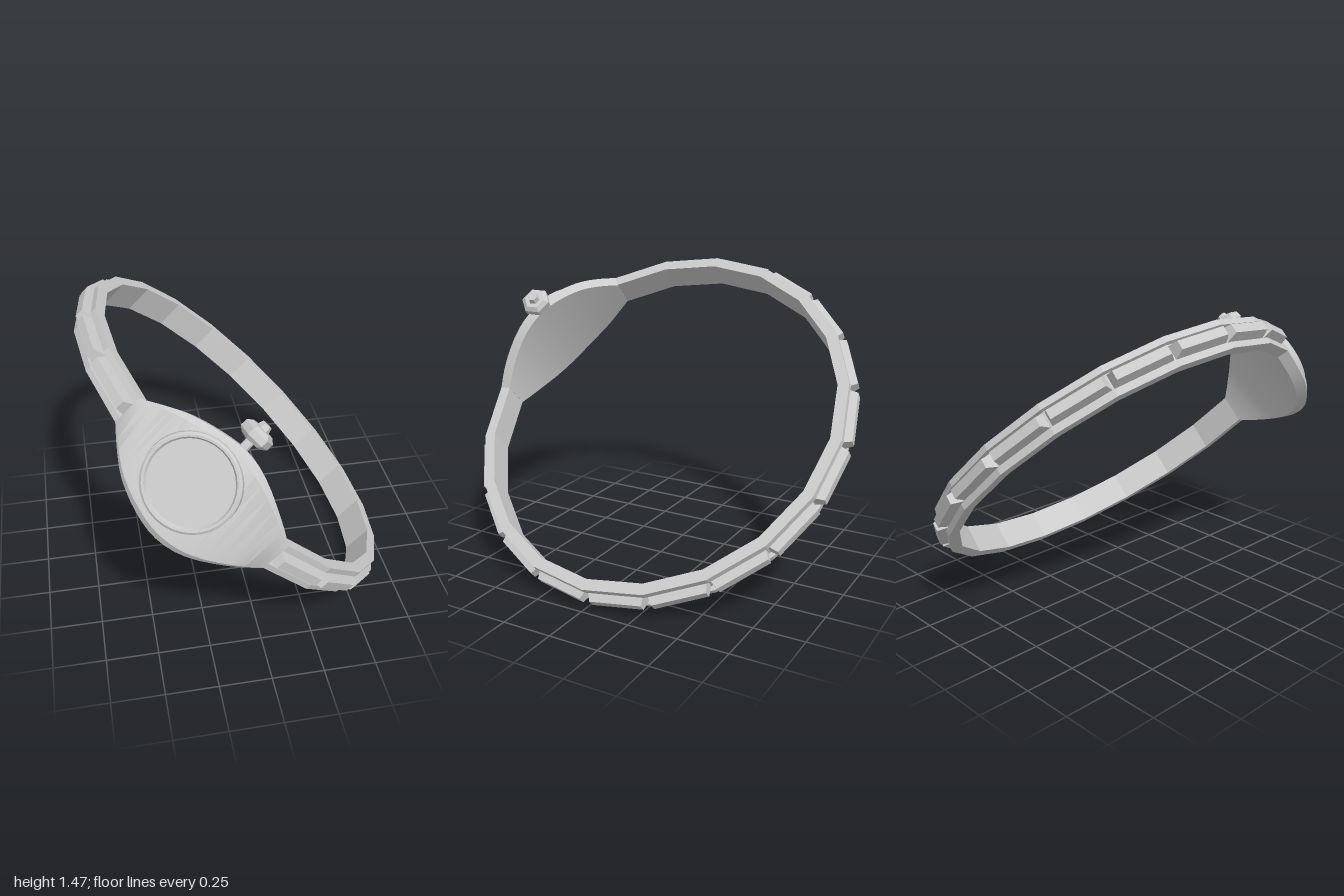
import * as THREE from 'three';
import { toCreasedNormals } from 'three/addons/utils/BufferGeometryUtils.js';

const RAD = Math.PI / 180;
const grey = new THREE.MeshStandardMaterial({ color: 0xcccccc, side: THREE.DoubleSide });
const greyFlat = new THREE.MeshStandardMaterial({ color: 0xcccccc, flatShading: true, side: THREE.DoubleSide });

// Ring coordinates: angle in degrees, radius, offset along the ring axis
const ringPoint = (deg, r, n) => new THREE.Vector3(r * Math.cos(deg * RAD), r * Math.sin(deg * RAD), n);

// Skin a list of closed cross-sections, with end caps for convex ones
function loft(rows, caps) {
  const k = rows[0].length, last = (rows.length - 1) * k, index = [];
  for (let i = 0; i < rows.length - 1; i++) {
    for (let j = 0; j < k; j++) {
      const a = i * k + j, b = i * k + (j + 1) % k;
      index.push(a, b, b + k, a, b + k, a + k);
    }
  }
  if (caps) {
    for (let j = 1; j < k - 1; j++) index.push(0, j + 1, j, last, last + j, last + j + 1);
  }
  const geo = new THREE.BufferGeometry().setFromPoints(rows.flat());
  geo.setIndex(index);
  return geo;
}

function add(parent, name, geo, mat) {
  const mesh = new THREE.Mesh(geo, mat);
  mesh.name = name;
  parent.add(mesh);
  return mesh;
}

// Band: 17 straight segments with a channel around the outside
function bandGeometry() {
  const section = [[-0.075, 0.91], [0.075, 0.91], [0.075, 0.965], [0.045, 0.967],
    [0.04, 0.945], [-0.04, 0.945], [-0.045, 0.967], [-0.075, 0.965]];
  const rows = [];
  for (let i = 0; i <= 17; i++) rows.push(section.map(([n, r]) => ringPoint(90 + i * 18, r, n)));
  const geo = loft(rows, false).toNonIndexed();
  geo.computeVertexNormals();
  return geo;
}

// Link: a box bent into a bar with chamfered sides and ends
function linkGeometry(midDeg) {
  const geo = new THREE.BoxGeometry(2, 2, 2);
  const pos = geo.attributes.position;
  for (let i = 0; i < pos.count; i++) {
    const top = pos.getY(i) > 0;
    const half = top ? 7.5 : 8.8;
    const p = ringPoint(midDeg - pos.getX(i) * half, top ? 0.997 : 0.94, pos.getZ(i) * (top ? 0.022 : 0.035));
    pos.setXYZ(i, p.x, p.y, p.z);
  }
  geo.computeVertexNormals();
  return geo;
}

// Case: widens from the band to the dial and leans slightly sideways
function caseGeometry() {
  const outline = new THREE.SplineCurve([[36, 0.076], [42, 0.145], [48, 0.202], [56, 0.246], [64, 0.265],
    [72.5, 0.238], [82.6, 0.155], [90, 0.078]].map(([a, w]) => new THREE.Vector2(a, w)));
  const rows = outline.getPoints(21).map(({ x: deg, y: w }) => {
    const f = Math.max(0, (w - 0.076) / 0.19);
    const inner = 0.908 - 0.004 * f, outer = 0.968 + 0.015 * f;
    const edge = outer - 0.004 - 0.02 * f;
    return [[-0.95 * w, inner], [0.95 * w, inner], [w, edge], [0.88 * w, outer], [-0.88 * w, outer], [-w, edge]]
      .map(([n, r]) => ringPoint(deg, r - 0.11 * n * f, n));
  });
  return toCreasedNormals(loft(rows, true).toNonIndexed(), 35 * RAD);
}

const lathe = (profile, sides) =>
  new THREE.LatheGeometry(profile.map(([r, y]) => new THREE.Vector2(r, y)), sides);

export function createModel() {
  const model = new THREE.Group();
  model.name = 'wristwatch';

  // Tilted frame that holds the ring
  const ring = new THREE.Group();
  ring.name = 'watch';
  const s = Math.SQRT1_2;
  ring.quaternion.setFromRotationMatrix(new THREE.Matrix4().makeBasis(
    new THREE.Vector3(-s, s, 0), new THREE.Vector3(0, 0, 1), new THREE.Vector3(s, s, 0)));
  ring.position.set(0.003, 0.741, 0);
  model.add(ring);

  add(ring, 'band', bandGeometry(), greyFlat);
  const links = new THREE.Group();
  links.name = 'bandLinks';
  ring.add(links);
  for (let i = 0; i < 17; i++) add(links, 'link', linkGeometry(99 + i * 18), greyFlat);

  add(ring, 'case', caseGeometry(), grey);

  // Dial with raised rim
  const up = new THREE.Vector3(0, 1, 0);
  const dial = new THREE.Group();
  dial.name = 'dial';
  dial.position.copy(ringPoint(60, 0.99, 0.02));
  dial.quaternion.setFromUnitVectors(up, ringPoint(58, 1, 0.11).normalize());
  ring.add(dial);
  const rim = lathe([[0.217, -0.04], [0.213, 0.006], [0.203, 0.014], [0.193, 0.013], [0.184, -0.002]], 32);
  add(dial, 'dialRim', toCreasedNormals(rim, 30 * RAD), grey);
  const face = new THREE.CircleGeometry(0.188, 32);
  face.rotateX(-Math.PI / 2);
  add(dial, 'dialFace', face, grey);

  // Six-sided crown on a short stem
  const crown = new THREE.Group();
  crown.name = 'crown';
  crown.position.copy(ringPoint(63, 0.882, 0.33));
  crown.quaternion.setFromUnitVectors(up, ringPoint(63, -0.2, 1).normalize());
  ring.add(crown);
  add(crown, 'crownStem', new THREE.CylinderGeometry(0.021, 0.021, 0.1, 8).translate(0, -0.07, 0), greyFlat);
  add(crown, 'crownKnob', lathe([[0, -0.034], [0.055, -0.034], [0.076, -0.016], [0.076, 0.016],
    [0.055, 0.034], [0, 0.034]], 6), greyFlat);
  add(crown, 'crownCap', new THREE.CylinderGeometry(0.024, 0.032, 0.03, 6).translate(0, 0.045, 0), greyFlat);

  return model;
}
